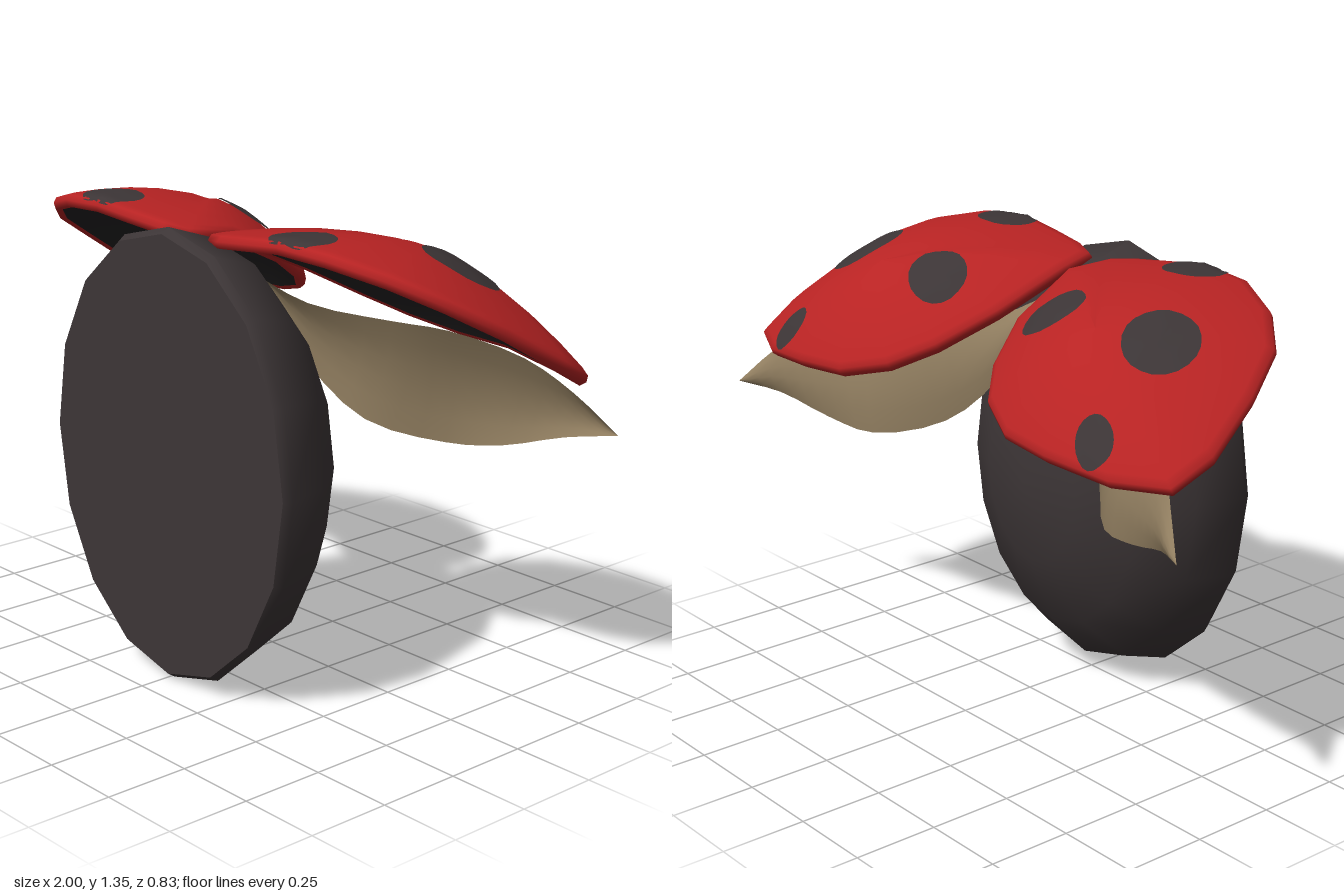
import * as THREE from 'three';
import { toCreasedNormals } from 'three/addons/utils/BufferGeometryUtils.js';

const material = (name, color, side = THREE.FrontSide) => {
  const m = new THREE.MeshStandardMaterial({ color, side });
  m.name = name;
  return m;
};

// Joins rows of points into a smooth skin; closed rows wrap round
function loft(rows, closed = true) {
  const n = rows[0].length;
  const index = [];
  for (let r = 0; r < rows.length - 1; r++) {
    for (let i = 0; i < (closed ? n : n - 1); i++) {
      const j = (i + 1) % n;
      const a = r * n + i, b = r * n + j, c = a + n, d = b + n;
      index.push(a, b, d, a, d, c);
    }
  }
  const geometry = new THREE.BufferGeometry().setFromPoints(rows.flat());
  geometry.setIndex(index);
  geometry.computeVertexNormals();
  return geometry;
}

// Mirrored copy across x with the corner order turned round
function mirrored(source) {
  const geometry = source.clone();
  const p = geometry.attributes.position;
  for (let i = 0; i < p.count; i++) p.setX(i, -p.getX(i));
  const index = geometry.index.array;
  for (let i = 0; i < index.length; i += 3) {
    [index[i + 1], index[i + 2]] = [index[i + 2], index[i + 1]];
  }
  geometry.computeVertexNormals();
  return geometry;
}

const points = list => list.map(p => new THREE.Vector3(...p));

// Rim of one wing case, running inner side, front, outer side, back
const RIM = points([
  [0.01, 1.28, 0.15], [0.045, 1.295, 0.28], [0.12, 1.305, 0.31], [0.25, 1.32, 0.325],
  [0.39, 1.335, 0.335], [0.56, 1.325, 0.32], [0.72, 1.285, 0.25], [0.835, 1.225, 0.15],
  [0.905, 1.14, 0], [0.95, 1.03, -0.18], [0.925, 0.965, -0.3], [0.77, 0.96, -0.375],
  [0.56, 0.98, -0.41], [0.38, 0.99, -0.395], [0.23, 1.03, -0.33], [0.13, 1.09, -0.23],
  [0.045, 1.18, -0.07],
]);
const CENTRE = new THREE.Vector3(0.47, 1.125, -0.09);
const UP = new THREE.Vector3(0.05, 0.88, -0.46).normalize();

// A shrunken copy of the rim, lifted along the wing case's own upward direction
const ring = (scale, lift) =>
  RIM.map(p => CENTRE.clone().lerp(p, scale).addScaledVector(UP, lift));
const dome = s => 0.15 * (1 - s ** 1.75);

// Spot draped on the wing case
function spotGeometry(shell, x, z, rx, rz) {
  const ray = new THREE.Raycaster();
  const down = new THREE.Vector3(0, -1, 0);
  const drape = (px, pz) => {
    for (let t = 0; t < 1; t += 0.01) {
      const from = new THREE.Vector3(px + (CENTRE.x - px) * t, 3, pz + (CENTRE.z - pz) * t);
      ray.set(from, down);
      const hit = ray.intersectObject(shell)[0];
      if (hit) return hit.point.addScaledVector(UP, 0.007);
    }
    return CENTRE.clone();
  };
  const rows = [1, 0.75, 0.5, 0.25, 0].map(s => Array.from({ length: 20 }, (_, i) => {
    const a = i / 20 * Math.PI * 2;
    return drape(x + rx * s * Math.cos(a), z - rz * s * Math.sin(a));
  }));
  return loft(rows);
}

export function createModel() {
  const model = new THREE.Group();
  model.name = 'beetleBodyWithWings';
  const red = material('wing case red', 0xb82323);
  const dark = material('body charcoal', 0x3c3536);
  const black = material('underside black', 0x232122);
  const tan = material('wing tan', 0x917e60, THREE.DoubleSide);

  const add = (parent, name, geometry, mat) => {
    const mesh = new THREE.Mesh(geometry, mat);
    mesh.name = name;
    parent.add(mesh);
  };

  // Body: half an egg with a flat, narrowly bevelled front
  const profile = [];
  for (let i = 0; i <= 4; i++) {
    const a = i / 4 * Math.PI / 2;
    profile.push(new THREE.Vector2(Math.sin(a), 0.387 - 0.407 * Math.cos(a)));
  }
  profile.push(new THREE.Vector2(0.975, 0.412), new THREE.Vector2(0, 0.412));
  const body = new THREE.LatheGeometry(profile, 16);
  body.rotateX(Math.PI / 2);
  body.scale(0.513, 0.665, 1);
  body.translate(0.01, 0.666, 0);
  add(model, 'body', toCreasedNormals(body, 0.95), dark);

  // Wing case: red domed top with rolled rim, black hollow underside
  const shellGeometry = loft([
    ring(0.93, -0.018), ring(0.975, -0.024), ring(1, -0.008), ring(0.995, 0.01),
    ...[0.95, 0.8, 0.6, 0.4, 0.2, 0].map(s => ring(s, dome(s) + 0.012)),
  ]);
  const undersideGeometry = loft(
    [0, 0.3, 0.6, 0.8, 0.93].map(s => ring(s, (dome(s) - dome(0.93)) * 0.85 - 0.018)));
  const shell = new THREE.Mesh(shellGeometry, red);
  const spots = [
    [0.41, 0.265, 0.1, 0.085],
    [0.65, -0.085, 0.104, 0.107],
    [0.26, -0.12, 0.096, 0.08],
    [0.69, -0.35, 0.06, 0.04],
  ].map(s => spotGeometry(shell, ...s));

  // Flying wing: thin sheet bowed backwards between its leading and trailing edges
  const smooth = list => new THREE.CatmullRomCurve3(points(list)).getPoints(18);
  const leading = smooth([
    [0.1, 1.19, 0.17], [0.24, 1.11, 0.08], [0.45, 1.078, -0.04], [0.6, 1.067, -0.11],
    [0.79, 1.01, -0.21], [0.9, 0.92, -0.29], [1, 0.81, -0.36],
  ]);
  const trailing = smooth([
    [0.1, 1.17, 0.155], [0.2, 0.93, 0.05], [0.35, 0.775, -0.04], [0.53, 0.72, -0.18],
    [0.7, 0.74, -0.23], [0.87, 0.79, -0.29], [1, 0.81, -0.36],
  ]);
  const sheetRows = [0, 0.2, 0.4, 0.6, 0.8, 1].map(t => leading.map((p, i) => {
    const q = p.clone().lerp(trailing[i], t);
    const gap = p.distanceTo(trailing[i]);
    q.z -= 4 * t * (1 - t) * (0.03 * gap + Math.min(0.02, gap * 0.3));
    return q;
  }));
  const sheetGeometry = loft(sheetRows, false);

  for (const side of [1, -1]) {
    const label = side > 0 ? 'left' : 'right';
    const place = g => (side > 0 ? g : mirrored(g));
    const wingCase = new THREE.Group();
    wingCase.name = label + 'WingCase';
    wingCase.position.x = 0.01;
    add(wingCase, label + 'WingCaseShell', place(shellGeometry), red);
    add(wingCase, label + 'WingCaseUnderside', place(undersideGeometry), black);
    spots.forEach((g, i) => add(wingCase, `${label}Spot${i + 1}`, place(g), dark));
    model.add(wingCase);
    add(model, label + 'FlyingWing', place(sheetGeometry), tan);
  }
  return model;
}
